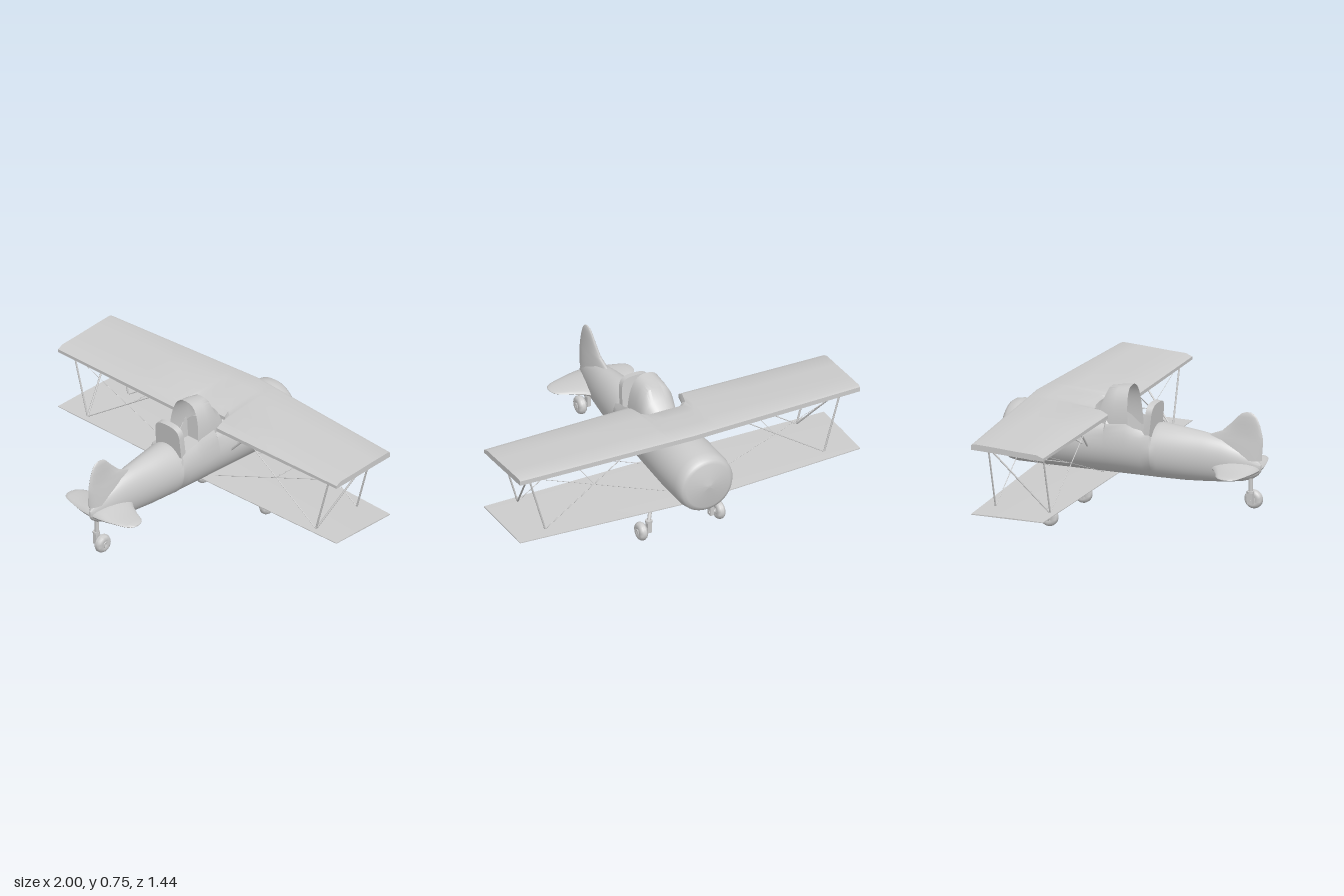
import * as THREE from 'three';
import { toCreasedNormals } from 'three/addons/utils/BufferGeometryUtils.js';

const grey = new THREE.MeshStandardMaterial({ color: 0xcccccc });
const greyThin = new THREE.MeshStandardMaterial({ color: 0xcccccc, side: THREE.DoubleSide });
const V = (x, y, z) => new THREE.Vector3(x, y, z);

function add(parent, name, geometry, material = grey) {
  const mesh = new THREE.Mesh(geometry, material);
  mesh.name = name;
  parent.add(mesh);
  return mesh;
}

// Skin a row of rings (arrays of Vector3); closed skins get end caps and face outwards
function loft(rings, { closed = true, crease = 0.7 } = {}) {
  const n = rings[0].length, pts = rings.flat(), idx = [];
  const tri = (a, b, c) => idx.push(a, b, c);
  for (let r = 0; r < rings.length - 1; r++) {
    for (let i = 0; i < (closed ? n : n - 1); i++) {
      const a = r * n + i, b = r * n + (i + 1) % n;
      tri(a, b, a + n);
      tri(b, b + n, a + n);
    }
  }
  if (closed) {
    [0, rings.length - 1].forEach((r) => {
      const c = pts.length;
      pts.push(rings[r].reduce((s, p) => s.add(p), V(0, 0, 0)).divideScalar(n));
      for (let i = 0; i < n; i++) {
        const a = r * n + i, b = r * n + (i + 1) % n;
        r === 0 ? tri(c, b, a) : tri(c, a, b);
      }
    });
    let volume = 0;
    for (let i = 0; i < idx.length; i += 3) {
      volume += pts[idx[i]].dot(V(0, 0, 0).crossVectors(pts[idx[i + 1]], pts[idx[i + 2]]));
    }
    if (volume < 0) idx.reverse();
  }
  const g = new THREE.BufferGeometry().setFromPoints(pts);
  g.setIndex(idx);
  return toCreasedNormals(g, crease);
}

// Round bar between two points
function rod(parent, name, a, b, radius, sides = 6) {
  const dir = b.clone().sub(a);
  const mesh = add(parent, name, new THREE.CylinderGeometry(radius, radius, dir.length(), sides));
  mesh.position.copy(a).add(b).multiplyScalar(0.5);
  mesh.quaternion.setFromUnitVectors(V(0, 1, 0), dir.normalize());
  return mesh;
}

// Fuselage: [z, half width, top, bottom, cockpit well]
function fuselage() {
  const sections = [
    [-0.72, 0.012, 0.45, 0.426], [-0.71, 0.045, 0.482, 0.393], [-0.706, 0.128, 0.565, 0.31],
    [-0.697, 0.146, 0.582, 0.29], [-0.68, 0.157, 0.595, 0.279], [-0.64, 0.163, 0.602, 0.271],
    [-0.45, 0.163, 0.604, 0.27], [-0.25, 0.15, 0.602, 0.27], [-0.13, 0.142, 0.602, 0.27],
    [-0.122, 0.142, 0.63, 0.27, 1], [-0.01, 0.138, 0.65, 0.27, 1], [0.03, 0.135, 0.62, 0.27, 1],
    [0.08, 0.13, 0.602, 0.27, 1], [0.125, 0.125, 0.6, 0.27, 1], [0.132, 0.124, 0.56, 0.27],
    [0.16, 0.12, 0.565, 0.27], [0.3, 0.1, 0.55, 0.271], [0.4, 0.086, 0.538, 0.277],
    [0.5, 0.07, 0.52, 0.285], [0.6, 0.048, 0.48, 0.298], [0.66, 0.032, 0.45, 0.315],
    [0.695, 0.018, 0.42, 0.34], [0.71, 0.006, 0.4, 0.36],
  ];
  const n = 48;
  return loft(sections.map(([z, w, top, bottom, well]) => {
    const cy = bottom + (Math.min(top, 0.604) - bottom) * 0.5;
    return Array.from({ length: n }, (_, i) => {
      const t = (i / n) * Math.PI * 2, s = Math.sin(t), x = w * Math.cos(t);
      let y = cy + s * (s > 0 ? top - cy : cy - bottom);
      if (well && s > 0 && Math.abs(x) < 0.1) y = Math.min(y, 0.46);
      return V(x, y, z);
    });
  }));
}

// Windscreen hood: open at the back, sloping down onto the wing
function hood() {
  const sections = [[-0.235, 0.07, 0.6], [-0.197, 0.092, 0.642], [-0.166, 0.1, 0.665],
    [-0.135, 0.103, 0.73], [-0.08, 0.104, 0.742], [-0.015, 0.103, 0.75]];
  return loft(sections.map(([z, w, top], k) => Array.from({ length: 25 }, (_, i) => {
    const t = (i / 24) * Math.PI, c = Math.cos(t), base = 0.5;
    const h = Math.sin(t) ** 0.75;
    return V(w * Math.sign(c) * Math.abs(c) ** 0.75, base + (top - base) * h,
      z + (k === 5 ? 0.02 * (1 - h) : 0));
  })), { closed: false, crease: 0.9 });
}

// Lens-shaped ring for tail surfaces, in the plane chosen by place(z, thickness)
const lens = (z0, z1, th, place) => Array.from({ length: 20 }, (_, i) => {
  const t = (i / 20) * Math.PI * 2;
  return place((z0 + z1) / 2 + Math.cos(t) * (z1 - z0) / 2, Math.sin(t) * th);
});

// Wing skinned across the span; section gives [u, y] points, u from trailing to leading edge
function wing(spans, section, cutout) {
  return loft(spans.map((x) => {
    const ax = Math.abs(x), lead = -0.555 + 0.05 * ax, full = -0.088 - 0.012 * ax;
    const trail = full - cutout(ax);
    return section(ax).map(([u, y]) => V(x, y, trail + (lead - trail) * u));
  }), { crease: 0.5 });
}

// Wheel with rounded tyre, hubs, fork block and collar; axle along x, fork on the side given
function wheel(name, side) {
  const g = new THREE.Group();
  g.name = name;
  const profile = [[0, -0.019], [0.012, -0.025], [0.016, -0.02], [0.03, -0.024], [0.043, -0.018],
    [0.05, -0.007], [0.05, 0.007], [0.043, 0.018], [0.03, 0.024], [0.016, 0.02], [0.012, 0.025], [0, 0.019]];
  const tyre = add(g, 'tyre', toCreasedNormals(
    new THREE.LatheGeometry(profile.map(([r, y]) => new THREE.Vector2(r, y)), 28), 0.9));
  tyre.rotation.z = Math.PI / 2;
  rod(g, 'axle', V(0, 0, 0), V(side * 0.06, 0, 0), 0.01, 12);
  const block = add(g, 'fork', new THREE.BoxGeometry(0.022, 0.065, 0.03));
  block.position.set(side * 0.045, 0.016, 0);
  const collar = add(g, 'collar', new THREE.CylinderGeometry(0.019, 0.019, 0.012, 16));
  collar.position.set(side * 0.045, 0.049, 0);
  return g;
}

export function createModel() {
  const model = new THREE.Group();
  model.name = 'biplane';
  add(model, 'fuselage', fuselage());
  add(model, 'windscreenHood', hood(), greyThin);

  // Headrest: arched plate leaning back behind the cockpit
  const arch = new THREE.Shape();
  arch.moveTo(-0.09, 0).lineTo(0.09, 0).lineTo(0.086, 0.12);
  arch.bezierCurveTo(0.08, 0.17, 0.05, 0.175, 0, 0.175);
  arch.bezierCurveTo(-0.05, 0.175, -0.08, 0.17, -0.086, 0.12);
  const rest = add(model, 'headrest', toCreasedNormals(
    new THREE.ExtrudeGeometry(arch, { depth: 0.034, bevelEnabled: false, curveSegments: 10 }), 0.6));
  rest.position.set(0, 0.5, 0.08);
  rest.rotation.x = 0.1;

  // Tail surfaces
  const fin = [[0.42, 0.42, 0.714, 0.036], [0.5, 0.4, 0.72, 0.028], [0.53, 0.41, 0.722, 0.022],
    [0.56, 0.49, 0.717, 0.017], [0.61, 0.545, 0.705, 0.013], [0.65, 0.583, 0.688, 0.01],
    [0.667, 0.602, 0.672, 0.007], [0.675, 0.625, 0.655, 0.003]];
  add(model, 'fin', loft(fin.map(([y, a, b, th]) => lens(a, b, th, (z, t) => V(t, y, z)))));
  const half = [[0, 0.4, 0.706, 0.045], [0.06, 0.45, 0.702, 0.033], [0.1, 0.485, 0.695, 0.022],
    [0.16, 0.52, 0.68, 0.014], [0.21, 0.543, 0.665, 0.01], [0.235, 0.565, 0.648, 0.007], [0.245, 0.59, 0.625, 0.003]];
  const tail = [...half.slice(1).reverse().map(([x, ...r]) => [-x, ...r]), ...half];
  add(model, 'tailplane', loft(tail.map(([x, a, b, th]) => lens(a, b, th, (z, t) => V(x, 0.37 + t, z)))));

  // Wings
  const spans = [-1, -0.5, -0.15, -0.13, -0.1, -0.05, 0, 0.05, 0.1, 0.13, 0.15, 0.5, 1];
  add(model, 'upperWing', wing(spans, (ax) => {
    const d = 0.018 * ax;
    return [[0, 0.598], [0, 0.618 - d * 0.2], [0.09, 0.64 - d * 0.6], [0.35, 0.652 - d], [0.7, 0.661 - d],
      [0.96, 0.666 - d], [1, 0.66 - d], [1, 0.634 - d], [0.7, 0.622 - d * 0.6], [0.3, 0.608 - d * 0.3]];
  }, (ax) => (ax < 0.11 ? 0.11 : ax < 0.14 ? 0.08 : 0)));
  add(model, 'lowerWing', wing([-1, 0, 1], (ax) => {
    const d = 0.008 * (1 - ax);
    return [[0, 0.264], [0, 0.268], [0.5, 0.27], [1, 0.268 - d], [1, 0.263 - d], [0.5, 0.263 - d * 0.4]];
  }, () => 0));

  // Struts and bracing wires
  const rear = -0.135, front = -0.443;
  for (const s of [1, -1]) {
    const rig = new THREE.Group();
    rig.name = s > 0 ? 'leftRigging' : 'rightRigging';
    model.add(rig);
    for (const z of [rear, front]) {
      rod(rig, 'wingStrut', V(s * 0.82, 0.265, z), V(s * 0.92, 0.615, z), 0.005);
      rod(rig, 'landingWire', V(s * 0.82, 0.265, z), V(s * 0.31, 0.61, z), 0.0025);
      rod(rig, 'flyingWire', V(s * 0.92, 0.605, z), V(s * 0.1, 0.29, z), 0.0015);
    }
    rod(rig, 'diagonalStrut', V(s * 0.82, 0.265, rear), V(s * 0.92, 0.615, front), 0.005);
    rod(rig, 'wireSpacer', V(s * 0.53, 0.456, rear), V(s * 0.53, 0.456, front), 0.0025);
    rod(rig, 'cabaneStrut', V(s * 0.31, 0.61, -0.21), V(s * 0.135, 0.425, -0.21), 0.006);
    rod(rig, 'cabaneStrut', V(s * 0.31, 0.62, front), V(s * 0.135, 0.435, -0.225), 0.006);

    // Main landing gear
    const gear = wheel(s > 0 ? 'leftWheel' : 'rightWheel', -s);
    gear.position.set(s * 0.228, 0.052, -0.39);
    model.add(gear);
    rod(model, 'gearLeg', V(s * 0.183, 0.1, -0.39), V(s * 0.122, 0.25, -0.33), 0.01, 12);
  }

  // Tail wheel
  const tailWheel = wheel('tailWheel', -1);
  tailWheel.position.set(0.037, 0.197, 0.653);
  model.add(tailWheel);
  rod(model, 'tailLeg', V(-0.004, 0.24, 0.653), V(-0.004, 0.33, 0.653), 0.012, 12);
  return model;
}
